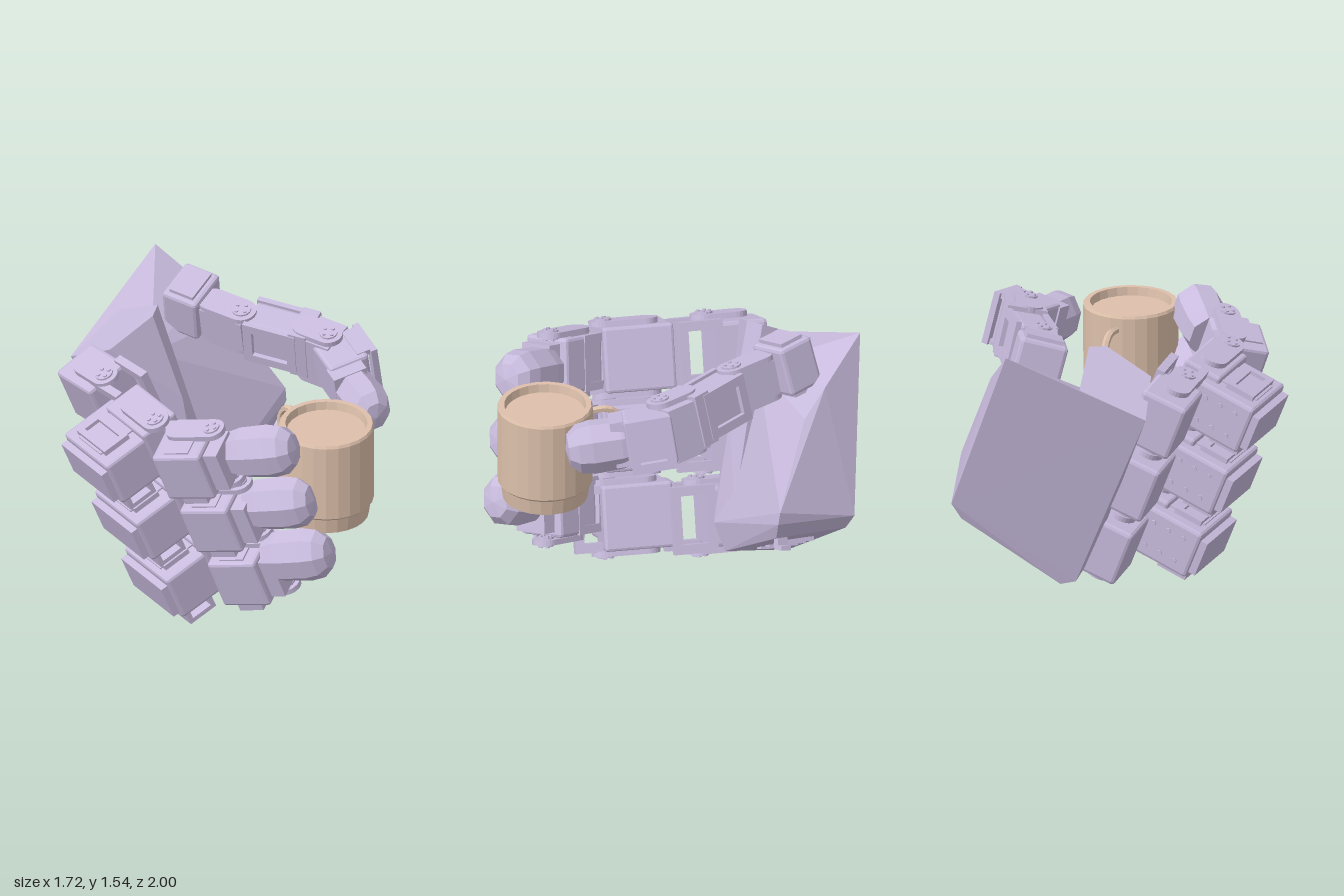
import * as THREE from 'three';
import { ConvexGeometry } from 'three/addons/geometries/ConvexGeometry.js';
import { RoundedBoxGeometry } from 'three/addons/geometries/RoundedBoxGeometry.js';

const shell = new THREE.MeshStandardMaterial({ color: 0xc8bbdd, flatShading: true });
const clay = new THREE.MeshStandardMaterial({ color: 0xddc0ab, flatShading: true, side: THREE.DoubleSide });
const V = (a) => new THREE.Vector3(...a);

function add(parent, name, geo, pos = [0, 0, 0], mat = shell) {
  const m = new THREE.Mesh(geo, mat);
  m.name = name;
  m.position.set(...pos);
  parent.add(m);
  return m;
}

// Group whose local z runs along `dir` and whose local y is the hinge axis
function link(parent, name, pos, dir, up) {
  const z = V(dir).normalize();
  const x = V(up).cross(z).normalize();
  const y = z.clone().cross(x);
  const g = new THREE.Group();
  g.name = name;
  g.quaternion.setFromRotationMatrix(new THREE.Matrix4().makeBasis(x, y, z));
  g.position.set(...pos);
  parent.add(g);
  return g;
}

// Slotted plate in the local y-z plane, thickness along x
function frameGeo(len, wide, thick, rim) {
  const rect = (s, w, h) => s.moveTo(-w, -h).lineTo(w, -h).lineTo(w, h).lineTo(-w, h).closePath();
  const s = rect(new THREE.Shape(), len / 2, wide / 2);
  s.holes.push(rect(new THREE.Path(), len / 2 - rim, wide / 2 - rim));
  return new THREE.ExtrudeGeometry(s, { depth: thick, bevelEnabled: false })
    .translate(0, 0, -thick / 2).rotateY(Math.PI / 2);
}

// Round-ended hinge plates on both sides, long along z
function platePair(g, len, r, gap, x = 0, z = 0) {
  const s = new THREE.Shape();
  s.absarc(len / 2, 0, r, -Math.PI / 2, Math.PI / 2);
  s.absarc(-len / 2, 0, r, Math.PI / 2, Math.PI * 1.5);
  const geo = new THREE.ExtrudeGeometry(s, { depth: 0.03, bevelEnabled: false, curveSegments: 6 })
    .translate(0, 0, -0.015).rotateX(Math.PI / 2).rotateY(Math.PI / 2);
  for (const side of [-1, 1]) {
    add(g, 'hingePlate', geo, [x, side * gap / 2, z]);
    add(g, 'hingeHub', new THREE.CylinderGeometry(r * 0.65, r * 0.65, 0.05, 12), [x, side * gap / 2, z + len / 2]);
    for (let i = 0; i < 4; i++) {
      const a = i * Math.PI / 2 + 0.4;
      add(g, 'hubBolt', new THREE.CylinderGeometry(0.011, 0.011, 0.066, 6),
        [x + Math.cos(a) * r * 0.4, side * gap / 2, z + len / 2 + Math.sin(a) * r * 0.4]);
    }
  }
}

// Motor case with a raised collar
function motor(g, w, h, l) {
  add(g, 'motorCase', new RoundedBoxGeometry(w, h, l, 1, 0.018));
  add(g, 'motorCollar', new THREE.BoxGeometry(w * 0.8, h * 1.06, l * 0.5));
}

// Faceted pad with a blunt free end
function tip(g, r, len, sx = 1) {
  const pts = [[0, -0.5], [0.85, -0.5], [1, -0.3], [1.05, 0.12], [0.95, 0.32], [0.62, 0.46], [0, 0.5]]
    .map(([a, b]) => new THREE.Vector2(a * r, b * len));
  add(g, 'fingerPad', new THREE.LatheGeometry(pts, 8, Math.PI / 8).rotateX(Math.PI / 2).scale(sx, 1, 1));
}

function buildPalm(root) {
  const palm = new THREE.Group();
  palm.name = 'palm';
  root.add(palm);
  const hull = (name, pts) => add(palm, name, new ConvexGeometry(pts.map(V)));
  // Wedge-shaped back housing
  hull('palmHousing', [
    [0.21, 1.52, -1.0], [0.57, 0.62, -0.91], [0.53, 0.53, -0.87], [0.06, 0.16, -0.64], [-0.02, 0.18, -0.62],
    [-0.47, 1.18, -0.71], [0.4, 1.31, -0.78], [0.47, 1.17, -0.66], [0.71, 0.75, -0.49],
    [0.71, 0.68, -0.48], [0.64, 0.56, -0.48], [0.13, 0.22, -0.29], [0.06, 0.36, -0.24], [-0.1, 1.2, -0.5],
  ]);
  // Raised block that carries the finger roots
  hull('knuckleBlock', [
    [-0.47, 1.18, -0.71], [-0.13, 1.31, -0.82], [-0.05, 1.47, -0.52], [-0.12, 1.46, -0.45], [-0.38, 1.33, -0.45],
    [-0.02, 0.18, -0.62], [0.0, 0.25, -0.35], [0.13, 0.22, -0.29], [0.06, 0.36, -0.24], [0.18, 0.5, -0.33],
    [0.0, 0.97, -0.34],
  ]);
  const tab = link(palm, 'wristTab', [0.61, 0.54, -0.51], [0.33, 0.22, 0.92], [-0.38, 0.92, -0.09]);
  add(tab, 'tabArm', new THREE.BoxGeometry(0.04, 0.09, 0.06));
  add(tab, 'tabFoot', new THREE.BoxGeometry(0.07, 0.025, 0.06), [0.02, -0.045, 0]);
  // Row of ribs on the wrist face
  for (let i = 0; i < 4; i++) {
    const k = i - 1.5;
    const rib = link(palm, 'wristRib', [0.33 + k * 0.075, 0.37 + k * 0.053, -0.58 - k * 0.03], [0.33, 0.22, 0.92], [-0.45, 0.88, -0.05]);
    add(rib, 'ribBar', new THREE.BoxGeometry(0.04, 0.05, 0.18));
  }
}

function buildFinger(root, i) {
  const up = [-0.38, 0.92, -0.09];
  const f = new THREE.Group();
  f.name = 'finger' + (i + 1);
  root.add(f);
  const at = (p, step) => p.map((v, k) => v + step[k] * i);

  // Root joint on the palm edge
  const base = link(f, 'rootJoint', at([-0.44, 1.12, -0.38], [0.18, -0.395, 0.05]), [0.12, 0.05, 1], up);
  add(base, 'rootCase', new RoundedBoxGeometry(0.26, 0.32, 0.3, 1, 0.02), [0, 0, -0.06]);
  platePair(base, 0.16, 0.075, 0.37, -0.01, 0.02);
  for (const x of [-0.06, 0.12]) add(base, 'rootFrame', frameGeo(0.24, 0.36, 0.045, 0.05), [x, 0, 0.16]);

  // Near motor with its inner bracket
  const near = link(f, 'nearSegment', at([-0.61, 1.05, 0.06], [0.165, -0.385, 0.03]), [0.04, 0.02, 1], up);
  motor(near, 0.36, 0.28, 0.43);
  for (const x of [-0.09, 0, 0.09]) for (const y of [-0.07, 0.07]) {
    add(near, 'caseBolt', new THREE.CylinderGeometry(0.014, 0.014, 0.02, 6).rotateX(Math.PI / 2), [x, y, -0.215]);
  }
  add(near, 'innerCase', new RoundedBoxGeometry(0.22, 0.35, 0.38, 1, 0.015), [0.18, 0, 0.04]);
  add(near, 'outerCap', new THREE.BoxGeometry(0.04, 0.2, 0.4), [-0.2, 0, 0]);
  platePair(near, 0.22, 0.075, 0.38, 0.18, 0.1);
  add(near, 'nearFrame', frameGeo(0.22, 0.36, 0.05, 0.05), [0.21, 0, 0.27]);
  add(near, 'upperSlot', frameGeo(0.28, 0.16, 0.03, 0.035).rotateZ(Math.PI / 2), [-0.05, 0.155, 0]);
  add(near, 'lowerLoop', frameGeo(0.17, 0.1, 0.24, 0.025).rotateY(Math.PI / 2), [-0.06, -0.18, 0.06]);

  // Far motor, turned inward
  const far = link(f, 'farSegment', at([-0.41, 1.14, 0.48], [0.145, -0.35, 0.04]), [0.55, 0.23, 0.75], up);
  motor(far, 0.29, 0.3, 0.28);
  platePair(far, 0.2, 0.07, 0.34, 0.05, 0.06);
  add(far, 'farFrame', frameGeo(0.2, 0.3, 0.04, 0.045), [0.13, 0, -0.1]);
  add(far, 'lowerLoop', frameGeo(0.16, 0.08, 0.14, 0.022).rotateY(Math.PI / 2), [-0.04, -0.16, 0]);
  add(far, 'padSocket', new THREE.BoxGeometry(0.2, 0.24, 0.1), [0, 0, 0.17]);

  const end = link(f, 'fingerTip', at([-0.115, 1.24, 0.73], [0.083, -0.32, 0.045]), [0.6, 0.25, 0.7], up);
  tip(end, 0.143, 0.37, 0.92);
}

function buildThumb(root) {
  const up = [-0.2, 0.97, 0.12];
  const t = new THREE.Group();
  t.name = 'thumb';
  root.add(t);
  const base = link(t, 'thumbRoot', [0.21, 1.37, -0.61], [0.5, -0.1, 0.85], [-0.3, 0.95, 0]);
  add(base, 'rootCase', new RoundedBoxGeometry(0.26, 0.27, 0.21, 1, 0.02));
  add(base, 'rootCap', new THREE.BoxGeometry(0.2, 0.31, 0.14));

  const hinge = link(t, 'thumbHinge', [0.31, 1.33, -0.39], [0.45, -0.05, 0.85], up);
  add(hinge, 'hingeCase', new THREE.BoxGeometry(0.16, 0.19, 0.26));
  platePair(hinge, 0.18, 0.08, 0.22);

  const mid = link(t, 'thumbMiddle', [0.48, 1.31, -0.17], [0.6, -0.05, 0.8], up);
  add(mid, 'middleCase', new RoundedBoxGeometry(0.18, 0.24, 0.3, 1, 0.02));
  for (const s of [-1, 1]) add(mid, 'middleFrame', frameGeo(0.3, 0.26, 0.03, 0.05), [s * 0.1, 0, 0]);
  add(mid, 'middleCollar', new THREE.BoxGeometry(0.22, 0.29, 0.1), [0, 0, 0.16]);

  const knuckle = link(t, 'thumbKnuckle', [0.63, 1.28, 0.04], [0.45, -0.05, 0.85], up);
  add(knuckle, 'knuckleCase', new THREE.BoxGeometry(0.2, 0.28, 0.22));
  platePair(knuckle, 0.14, 0.075, 0.32, -0.02, 0);

  const far = link(t, 'thumbFar', [0.66, 1.25, 0.2], [-0.08, -0.15, 1], up);
  add(far, 'farCase', new RoundedBoxGeometry(0.23, 0.28, 0.26, 1, 0.02));
  add(far, 'farFrame', frameGeo(0.24, 0.29, 0.035, 0.05), [0.15, 0, 0]);
  for (const s of [-1, 1]) add(far, 'frameArm', new THREE.BoxGeometry(0.1, 0.03, 0.2), [0.11, s * 0.13, 0]);
  add(far, 'padSocket', new THREE.BoxGeometry(0.19, 0.25, 0.1), [-0.03, 0, 0.15]);

  const end = link(t, 'thumbTip', [0.63, 1.2, 0.46], [-0.05, -0.1, 1], up);
  tip(end, 0.14, 0.37, 0.84);
}

function buildMug(root) {
  const mug = new THREE.Group();
  mug.name = 'mug';
  mug.position.set(0.28, 0, 0.697);
  root.add(mug);
  const pts = [[0, 0.735], [0.225, 0.735], [0.237, 0.82], [0.252, 0.835], [0.253, 1.265], [0.245, 1.28],
    [0.217, 1.28], [0.21, 1.235], [0, 1.235]].map((p) => new THREE.Vector2(...p));
  add(mug, 'mugBody', new THREE.LatheGeometry(pts, 24), [0, 0, 0], clay);
  // Strap handle on the rear of the mug
  const curve = new THREE.CatmullRomCurve3([[-0.03, 1.2, -0.23], [-0.035, 1.2, -0.35], [-0.04, 1.13, -0.41],
    [-0.04, 1.04, -0.4], [-0.035, 0.97, -0.33], [-0.03, 0.94, -0.23]].map(V));
  add(mug, 'mugHandle', new THREE.TubeGeometry(curve, 16, 0.02, 6), [0, 0, 0], clay);
}

export function createModel() {
  const root = new THREE.Group();
  root.name = 'grippingHand';
  buildPalm(root);
  for (let i = 0; i < 3; i++) buildFinger(root, i);
  buildThumb(root);
  buildMug(root);
  return root;
}
